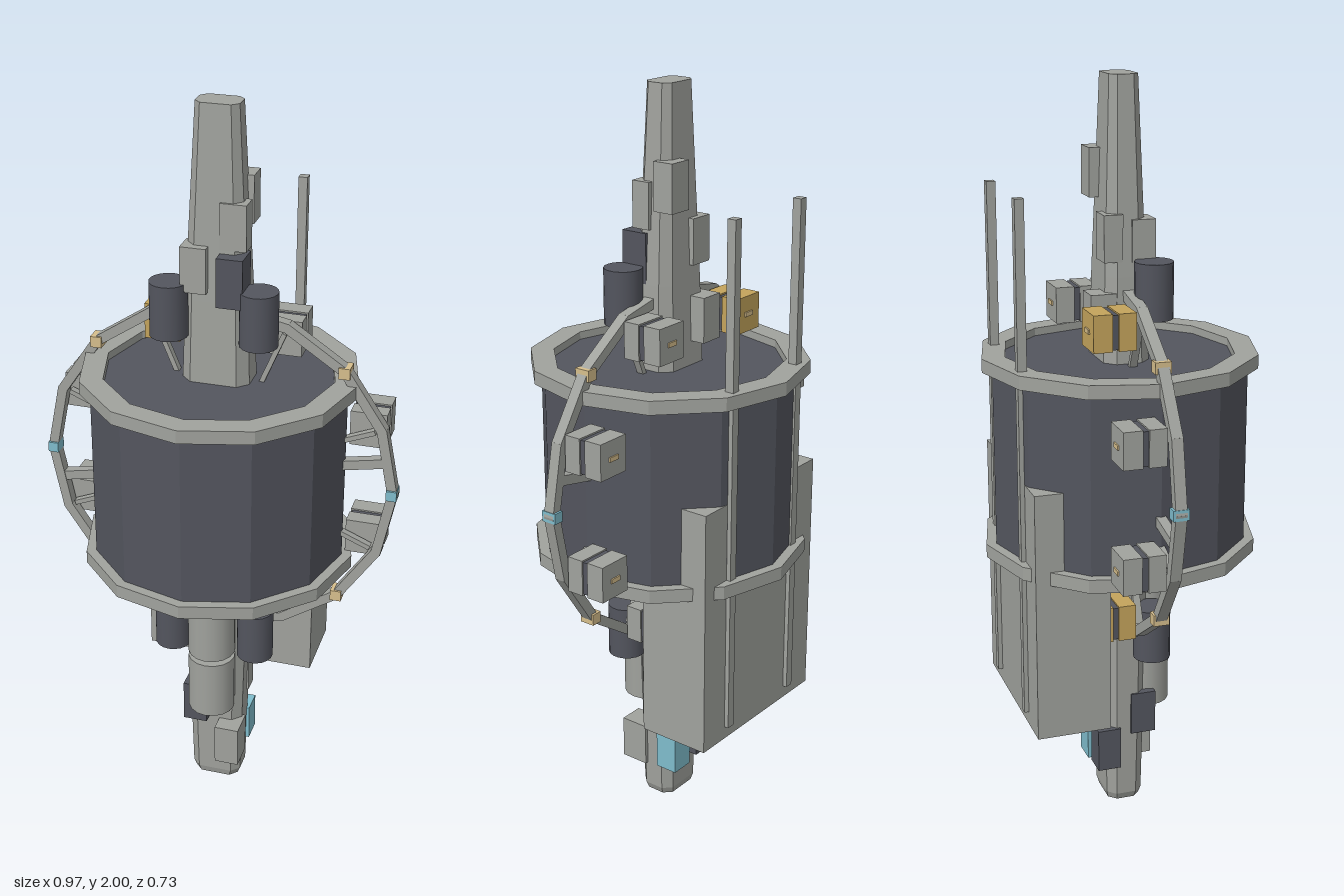
import * as THREE from 'three';

export function createModel() {
  const mat = (name, hex) => {
    const m = new THREE.MeshStandardMaterial({ color: hex });
    m.name = name;
    return m;
  };
  const grey = mat('hull grey', 0xa0a29d);
  const dark = mat('dark slate', 0x53555e);
  const gold = mat('gold', 0xc4a45c);
  const tan = mat('pale tan', 0xd6be8c);
  const blue = mat('light blue', 0x7fbccc);

  const model = new THREE.Group();
  model.name = 'spaceStation';

  // Facet a geometry
  const flat = (geo) => {
    const g = geo.index ? geo.toNonIndexed() : geo;
    g.computeVertexNormals();
    return g;
  };
  const add = (name, geo, material, x = 0, y = 0, z = 0, parent = model) => {
    const mesh = new THREE.Mesh(geo, material);
    mesh.name = name;
    mesh.position.set(x, y, z);
    parent.add(mesh);
    return mesh;
  };
  // Box given by its limits on each axis
  const block = (name, material, x0, x1, y0, y1, z0, z1, parent = model) =>
    add(name, new THREE.BoxGeometry(x1 - x0, y1 - y0, z1 - z0), material,
      (x0 + x1) / 2, (y0 + y1) / 2, (z0 + z1) / 2, parent);

  // Central spindle: chamfered rectangle sections [y, half x, half z]
  const sections = [
    [0, 0.062, 0.045], [0.02, 0.07, 0.05], [0.5, 0.083, 0.058], [0.8, 0.09, 0.062],
    [1.25, 0.09, 0.062], [1.5, 0.082, 0.055], [2, 0.056, 0.038],
  ];
  const rings = sections.map(([y, a, b]) => {
    const c = 0.45 * b;
    return [[a, b - c], [a - c, b], [c - a, b], [-a, b - c], [-a, c - b], [c - a, -b], [a - c, -b], [a, c - b]]
      .map(([x, z]) => [x, y, z]);
  });
  const pos = [];
  const tri = (...corners) => corners.forEach((p) => pos.push(...p));
  for (let s = 0; s < rings.length - 1; s++) {
    for (let i = 0; i < 8; i++) {
      const j = (i + 1) % 8;
      const [lo, hi] = [rings[s], rings[s + 1]];
      tri(lo[i], hi[i], hi[j]);
      tri(lo[i], hi[j], lo[j]);
    }
  }
  const bottom = rings[0], top = rings[rings.length - 1];
  for (let i = 1; i < 7; i++) {
    tri(bottom[0], bottom[i], bottom[i + 1]);
    tri(top[0], top[i + 1], top[i]);
  }
  const spindleGeo = new THREE.BufferGeometry();
  spindleGeo.setAttribute('position', new THREE.Float32BufferAttribute(pos, 3));
  spindleGeo.computeVertexNormals();
  add('spindle', spindleGeo, grey);

  // Twelve-sided drum with a square rim at each end
  add('drum', flat(new THREE.CylinderGeometry(0.34, 0.34, 0.5, 12)), dark, 0, 1.026, 0);
  const rimProfile = [[0.367, -0.018], [0.367, 0.018], [0.305, 0.018], [0.305, -0.018], [0.367, -0.018]]
    .map(([x, y]) => new THREE.Vector2(x, y));
  for (const y of [0.773, 1.279]) {
    add('drumRim', flat(new THREE.LatheGeometry(rimProfile, 12)), grey, 0, y, 0);
  }

  // Rear housing and its two tall masts
  block('rearHousing', grey, -0.24, 0.24, 0.325, 1.0, -0.3, -0.1);
  for (const s of [-1, 1]) add('mast', new THREE.BoxGeometry(0.024, 1.365, 0.024), grey, s * 0.137, 1.043, -0.3);

  // Upright hoop of sixteen straight bars
  const R = 0.47;
  const bar = (name, r0, r1, angle, width, depth) => {
    const r = (r0 + r1) / 2;
    const m = add(name, new THREE.BoxGeometry(r1 - r0, width, depth), grey,
      r * Math.cos(angle), 1 + r * Math.sin(angle), 0);
    m.rotation.z = angle;
  };
  const step = Math.PI / 8;
  const chord = 2 * R * Math.sin(step / 2);
  for (let i = 0; i < 16; i++) {
    const a = (i + 0.5) * step, r = R * Math.cos(step / 2);
    const m = add('hoopBar', new THREE.BoxGeometry(0.026, chord + 0.005, 0.03), grey,
      r * Math.cos(a), 1 + r * Math.sin(a), 0);
    m.rotation.z = a;
  }
  // Joint clamps on the hoop
  for (const s of [-1, 1]) {
    add('blueClamp', new THREE.BoxGeometry(0.028, 0.028, 0.042), blue, s * 0.468, 1, 0);
    for (const t of [-1, 1]) {
      add('tanClamp', new THREE.BoxGeometry(0.03, 0.03, 0.042), tan, s * 0.332, 1 + t * 0.332, 0);
    }
  }
  // Two main spokes
  for (const a of [step / 2, step / 2 + Math.PI]) bar('spoke', 0.05, 0.462, a, 0.026, 0.026);

  // Eight equipment pods, each on a thin radial strut
  for (let i = 0; i < 8; i++) {
    const a = (i + 0.5) * Math.PI / 4;
    const x = 0.424 * Math.cos(a), y = 1 + 0.424 * Math.sin(a);
    const shell = i === 2 || i === 5 ? gold : grey;
    const pod = new THREE.Group();
    pod.name = 'pod';
    pod.position.set(x, y, 0);
    model.add(pod);
    block('podFront', shell, -0.048, 0.048, -0.048, 0.048, -0.068, -0.022, pod);
    block('podCore', dark, -0.044, 0.044, -0.044, 0.044, -0.086, -0.066, pod);
    block('podRear', shell, -0.048, 0.048, -0.048, 0.048, -0.134, -0.084, pod);
    block('podMark', tan, -0.016, 0.016, -0.006, 0.006, -0.138, -0.133, pod);
    bar('podStrut', 0.06, 0.45, a, 0.013, 0.02);
  }

  // Four dark tanks beside the spindle
  for (const s of [-1, 1]) {
    for (const y of [0.532, 1.472]) {
      add('tank', new THREE.CylinderGeometry(0.05, 0.05, 0.146, 18), dark, s * 0.118, y, 0.055);
    }
  }

  // Docking cylinders on the lower front
  for (const [y0, y1] of [[0.28, 0.45], [0.465, 0.66]]) {
    add('dockingCylinder', new THREE.CylinderGeometry(0.065, 0.065, y1 - y0, 16), grey, 0, (y0 + y1) / 2, 0.077);
  }
  block('lowerCollar', grey, -0.066, 0.066, 0.7, 0.755, 0, 0.074);

  // Equipment boxes on the spindle: left column s = 1, right column s = -1
  const boxes = [
    [grey, 1, 1.64, 1.76, 0, 0.052],
    [grey, -1, 1.525, 1.645, 0.01, 0.072],
    [dark, 1, 1.5, 1.63, 0.01, 0.085],
    [grey, 1, 1.69, 1.815, -0.073, -0.015],
    [grey, -1, 1.54, 1.66, -0.065, -0.015],
    [grey, -1, 1.34, 1.46, -0.1, -0.02],
    [grey, 1, 0.09, 0.21, 0.02, 0.1],
    [dark, -1, 0.21, 0.33, 0.01, 0.08],
    [blue, 1, 0.1, 0.205, -0.085, -0.02],
    [dark, -1, 0.11, 0.23, -0.085, -0.02],
    [dark, 1, 0.53, 0.74, -0.09, -0.03],
    [grey, 1, 0.28, 0.43, -0.056, -0.01],
  ];
  for (const [m, s, y0, y1, z0, z1] of boxes) {
    add('equipmentBox', new THREE.BoxGeometry(0.068, y1 - y0, z1 - z0), m, s * 0.049, (y0 + y1) / 2, (z0 + z1) / 2);
  }

  return model;
}
